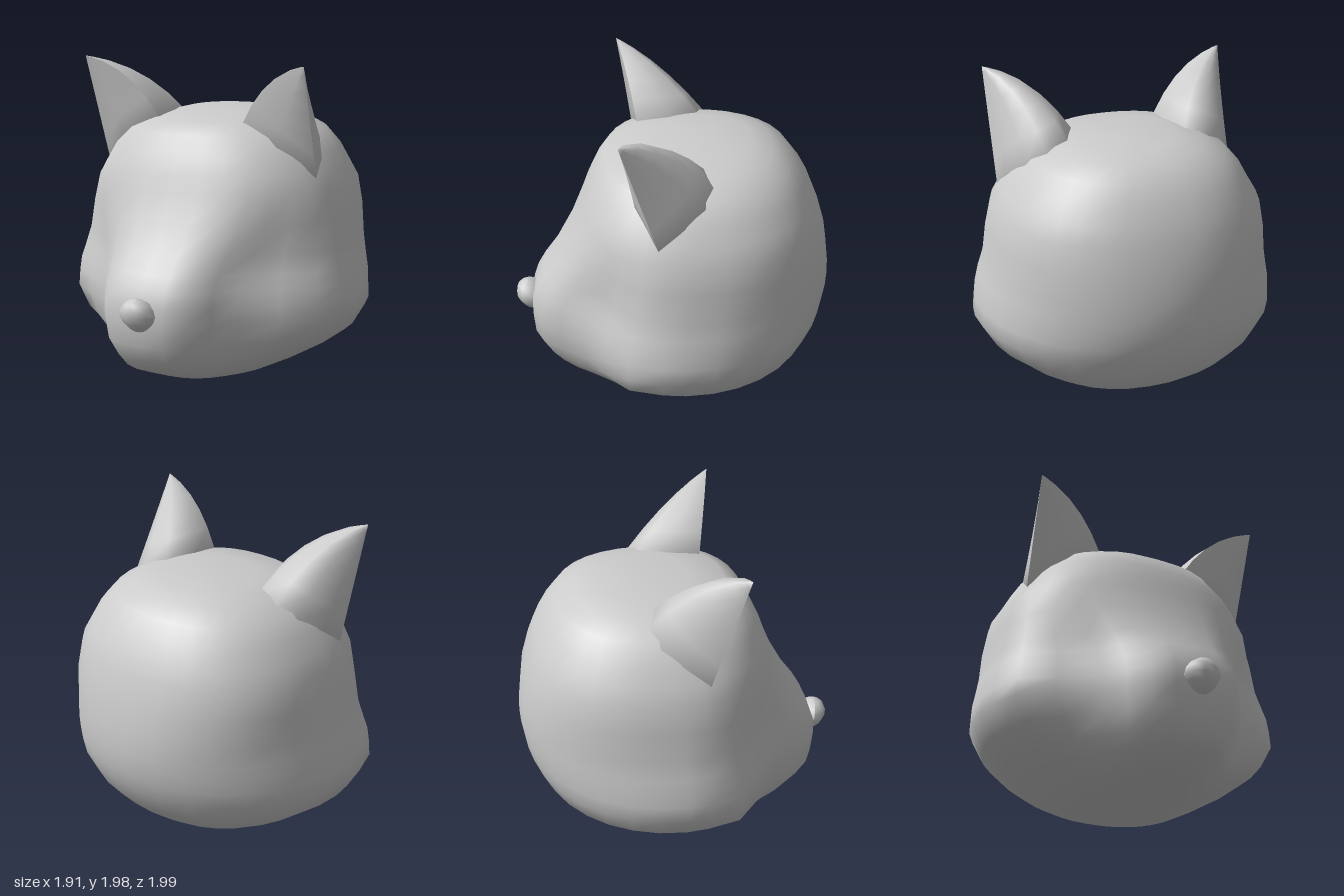
import * as THREE from 'three';
import { mergeVertices } from 'three/addons/utils/BufferGeometryUtils.js';

const material = new THREE.MeshStandardMaterial({ color: 0xcccccc, side: THREE.DoubleSide });

// Smooth skin over rows of [x, y, z] points, rows going upwards
function loft(rows, closed) {
  const n = rows[0].length, index = [];
  for (let i = 0; i < rows.length - 1; i++) {
    for (let k = 0; k < (closed ? n : n - 1); k++) {
      const a = i * n + k, b = i * n + (k + 1) % n;
      index.push(a, a + n, b, b, a + n, b + n);
    }
  }
  let geometry = new THREE.BufferGeometry();
  geometry.setAttribute('position', new THREE.Float32BufferAttribute(rows.flat(2), 3));
  geometry.setIndex(index);
  geometry = mergeVertices(geometry, 1e-5);
  geometry.computeVertexNormals();
  return geometry;
}

function addMesh(parent, name, geometry) {
  const mesh = new THREE.Mesh(geometry, material);
  mesh.name = name;
  parent.add(mesh);
}

// Head levels: height, half width, front z, back z, middle z, muzzle amount
const levels = [
  [0.005, 0, -0.1, -0.1, -0.1, 0],
  [0.012, 0.17, 0.06, -0.25, -0.1, 0],
  [0.04, 0.32, 0.32, -0.4, -0.1, 0.05],
  [0.075, 0.43, 0.57, -0.52, -0.1, 0.15],
  [0.15, 0.58, 0.76, -0.67, -0.09, 0.4],
  [0.23, 0.72, 0.82, -0.78, -0.08, 0.65],
  [0.34, 0.87, 0.88, -0.88, -0.06, 0.9],
  [0.48, 0.955, 0.89, -0.95, -0.05, 1],
  [0.58, 0.945, 0.89, -0.98, -0.05, 1],
  [0.67, 0.935, 0.86, -0.995, -0.05, 0.95],
  [0.76, 0.91, 0.81, -1, -0.06, 0.85],
  [0.87, 0.88, 0.73, -0.995, -0.07, 0.6],
  [1.05, 0.855, 0.63, -0.97, -0.08, 0.25],
  [1.22, 0.82, 0.56, -0.92, -0.1, 0.05],
  [1.32, 0.76, 0.525, -0.88, -0.1, 0],
  [1.43, 0.7, 0.475, -0.82, -0.11, 0],
  [1.54, 0.6, 0.41, -0.74, -0.13, 0],
  [1.61, 0.46, 0.3, -0.63, -0.15, 0],
  [1.65, 0.3, 0.08, -0.5, -0.2, 0],
  [1.665, 0, -0.25, -0.25, -0.25, 0],
];

// Quarter outline of the muzzle, from cheek to nose
const muzzle = [[1, 0], [0.985, 0.14], [0.92, 0.36], [0.72, 0.5], [0.5, 0.65],
  [0.4, 0.8], [0.3, 0.935], [0.165, 0.995], [0, 1]];

function headRow([y, w, front, back, mid, m]) {
  const row = [], power = 2 / THREE.MathUtils.lerp(2.35, 2, m);
  for (let k = 0; k < 32; k++) {
    const angle = k * Math.PI / 16;
    let u = Math.pow(Math.abs(Math.cos(angle)), power);
    let v = Math.pow(Math.abs(Math.sin(angle)), power);
    if (k <= 16) {
      const [mu, mv] = muzzle[k <= 8 ? k : 16 - k];
      u = THREE.MathUtils.lerp(u, mu, m);
      v = THREE.MathUtils.lerp(v, mv, m);
    }
    const sign = k > 8 && k < 24 ? -1 : 1;
    row.push([sign * u * w, y, mid + v * ((k <= 16 ? front : back) - mid)]);
  }
  return row;
}

// Ear base outlines, each point with its outward bulge
const tip = [0.77, 1.98, 0.32];
const earFront = [[0.75, 1.3, 0.1, 0], [0.55, 1.48, 0.23, 0.3], [0.3, 1.61, 0.2, 1]];
const earBack = [[0.3, 1.61, 0.2, 1], [0.29, 1.63, 0, 1], [0.36, 1.61, -0.2, 1],
  [0.51, 1.57, -0.24, 1], [0.63, 1.5, -0.18, 0.7], [0.72, 1.4, -0.03, 0.3], [0.75, 1.3, 0.1, 0]];

function earRows(base, side) {
  const core = [0.42, 1.25, 0];
  const rows = [-1, 0, 0.2, 0.4, 0.6, 0.8, 0.94, 1].map((t) => base.map(([x, y, z, bulge]) => {
    const p = [x, y, z];
    // The first row sinks into the head
    if (t < 0) return p.map((c, i) => c + (core[i] - c) * 0.2);
    const b = bulge * 4 * t * (1 - t);
    const q = p.map((c, i) => c + (tip[i] - c) * t);
    return [q[0] - 0.03 * b, q[1] + 0.065 * b, q[2]];
  }));
  if (side > 0) return rows;
  return rows.map((row) => row.map(([x, y, z]) => [-x, y, z]).reverse());
}

export function createModel() {
  const model = new THREE.Group();
  model.name = 'animalHead';

  addMesh(model, 'head', loft(levels.map(headRow), true));

  for (const side of [1, -1]) {
    const ear = new THREE.Group();
    ear.name = side > 0 ? 'leftEar' : 'rightEar';
    addMesh(ear, 'earFront', loft(earRows(earFront, side), false));
    addMesh(ear, 'earBack', loft(earRows(earBack, side), false));
    model.add(ear);
  }

  // Nose, narrower and further back towards the bottom
  const nose = new THREE.SphereGeometry(1, 10, 8);
  const p = nose.attributes.position;
  for (let i = 0; i < p.count; i++) {
    const y = p.getY(i);
    const taper = y < 0 ? 1 + 0.25 * y : 1;
    p.setXYZ(i, p.getX(i) * 0.115 * taper, 0.535 + y * 0.105, 0.895 + p.getZ(i) * 0.1 + y * 0.025);
  }
  nose.computeVertexNormals();
  addMesh(model, 'nose', nose);

  return model;
}
